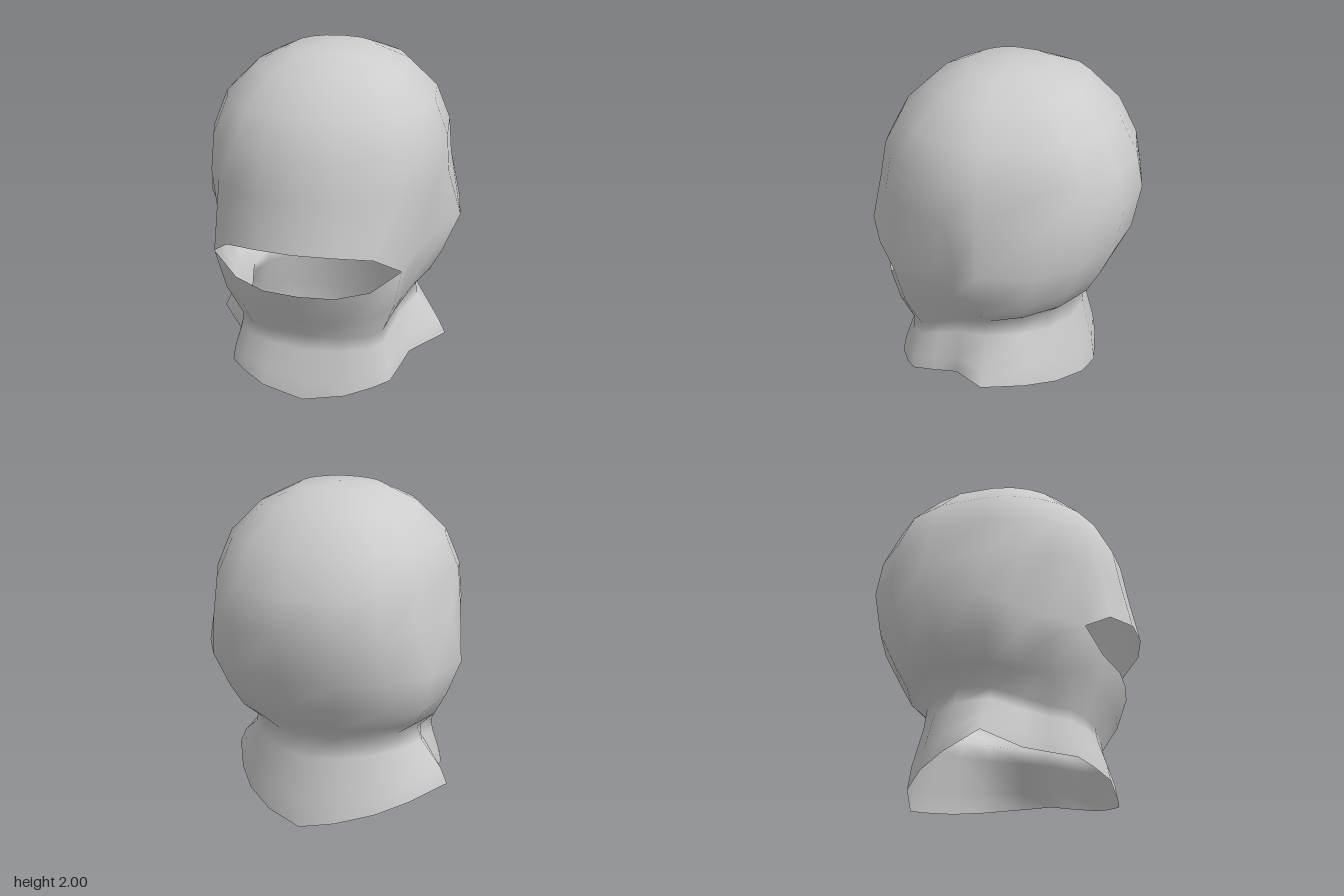
import * as THREE from 'three';
import { mergeVertices } from 'three/addons/utils/BufferGeometryUtils.js';

// Column angles over one half, from the front (0) round the side to the back (180)
const ANGLES = [0, 17, 35, 47, 62, 76, 90, 114, 135, 157, 180];
const LAST = ANGLES.length - 1;
const CORNER = 3; // column where the eye opening ends

// Half outlines [x, y, z], one point per column from front to back
const BRIM = [
  [0, 0.995, 0.81], [0.22, 0.99, 0.78], [0.43, 0.955, 0.67], [0.56, 0.85, 0.54],
  [0.62, 0.915, 0.29], [0.685, 0.97, 0.13], [0.785, 1.01, -0.02], [0.725, 1.01, -0.33],
  [0.56, 1.02, -0.56], [0.31, 1.02, -0.71], [0, 1.02, -0.76],
];
const JAW = [
  [0, 0.7, 0.71], [0.21, 0.705, 0.695], [0.4, 0.735, 0.62], [0.56, 0.85, 0.54],
  [0.575, 0.79, 0.34], [0.625, 0.77, 0.16], [0.69, 0.78, 0], [0.67, 0.78, -0.27],
  [0.5, 0.8, -0.48], [0.28, 0.82, -0.62], [0, 0.82, -0.66],
];
const CREASE = [
  [0, 0.38, 0.55], [0.2, 0.383, 0.54], [0.35, 0.39, 0.5], [0.43, 0.41, 0.43],
  [0.44, 0.44, 0.31], [0.46, 0.49, 0.17], [0.51, 0.54, 0], [0.47, 0.57, -0.2],
  [0.36, 0.57, -0.34], [0.19, 0.57, -0.44], [0, 0.57, -0.47],
];
const HEM = [
  [0, 0, 0.64], [0.25, 0.05, 0.62], [0.4, 0.085, 0.54], [0.49, 0.11, 0.47],
  [0.515, 0.135, 0.33], [0.54, 0.165, 0.18], [0.72, 0.215, -0.02], [0.57, 0.16, -0.25],
  [0.42, 0.115, -0.41], [0.22, 0.07, -0.535], [0, 0.015, -0.57],
];

// Slightly squared oval: half width, front depth, back depth, front and back height
function oval(width, front, back, yFront, yBack = yFront) {
  return ANGLES.map((degrees) => {
    const a = THREE.MathUtils.degToRad(degrees);
    const s = Math.max(0, Math.sin(a)), c = Math.cos(a);
    const power = c > 0 ? 0.96 : 0.88;
    const depth = Math.pow(Math.abs(c), power) * (c > 0 ? front : -back);
    const y = c > 0 ? yFront : THREE.MathUtils.lerp(yFront, yBack, c * c);
    return [width * Math.pow(s, power), y, depth];
  });
}

// Outline between two others, with separate amounts for height and spread
function between(from, to, height, spread) {
  const amounts = [spread, height, spread];
  return from.map((p, i) => p.map((v, axis) => THREE.MathUtils.lerp(v, to[i][axis], amounts[axis])));
}

// Rings from crown to hem
const RINGS = [
  oval(0.245, 0.22, 0.27, 1.98),
  oval(0.445, 0.42, 0.48, 1.88, 1.91),
  oval(0.615, 0.6, 0.66, 1.71, 1.72),
  oval(0.695, 0.71, 0.77, 1.5),
  oval(0.71, 0.75, 0.81, 1.28, 1.29),
  BRIM,
  JAW,
  between(JAW, CREASE, 0.56, 0.4),
  CREASE,
  between(CREASE, HEM, 0.24, 0.16),
  between(CREASE, HEM, 0.72, 0.8),
  HEM,
];
const BRIM_ROW = RINGS.indexOf(BRIM);

function createHoodGeometry() {
  const columns = 2 * LAST;
  const positions = [];
  const indices = [];
  for (const ring of RINGS) {
    for (let k = 0; k < columns; k++) {
      const mirrored = k > LAST;
      const [x, y, z] = ring[mirrored ? columns - k : k];
      positions.push(mirrored ? -x : x, y, z);
    }
  }
  const apex = positions.length / 3;
  positions.push(0, 2, -0.02);

  for (let k = 0; k < columns; k++) {
    const next = (k + 1) % columns;
    indices.push(apex, k, next); // crown
    const atOpening = k < CORNER || k >= columns - CORNER;
    for (let r = 0; r < RINGS.length - 1; r++) {
      if (r === BRIM_ROW && atOpening) continue; // eye opening
      const a = r * columns + k, b = r * columns + next;
      const c = a + columns, d = b + columns;
      // The panels beside each eye corner narrow to a single point
      if (r !== BRIM_ROW || k !== CORNER) indices.push(a, c, b);
      if (r !== BRIM_ROW || next !== columns - CORNER) indices.push(b, c, d);
    }
  }
  const geometry = new THREE.BufferGeometry();
  geometry.setAttribute('position', new THREE.Float32BufferAttribute(positions, 3));
  geometry.setIndex(indices);
  const welded = mergeVertices(geometry, 1e-4);
  welded.computeVertexNormals();
  return welded;
}

export function createModel() {
  const group = new THREE.Group();
  group.name = 'balaclava';
  const fabric = new THREE.MeshStandardMaterial({ color: 0xcccccc, side: THREE.DoubleSide });
  fabric.name = 'grey fabric';
  const hood = new THREE.Mesh(createHoodGeometry(), fabric);
  hood.name = 'hood';
  group.add(hood);
  return group;
}
